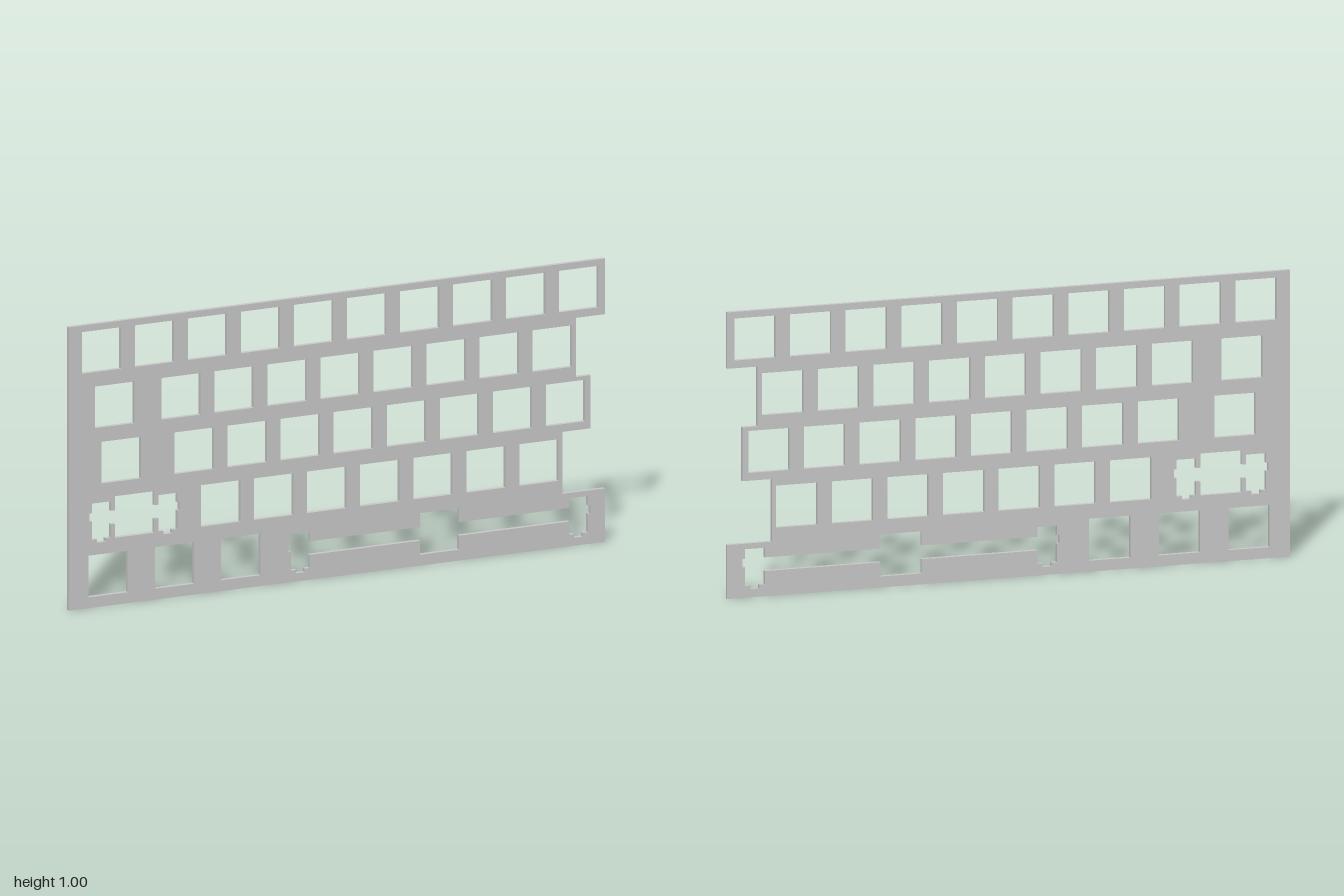
import * as THREE from 'three';

const U = 0.1977;         // key pitch
const MM = U / 19.05;     // one millimetre at this scale
const H = 7.05 * MM;      // half a switch cutout
const DEPTH = 0.0156;
const keyX = (u) => -0.878 + u * U;
const rowY = (r) => 0.901 - r * 0.1974;

const toPath = (pts) => new THREE.Path(pts.map(([x, y]) => new THREE.Vector2(x, y)));

// Square switch cutout
function switchHole(u, row) {
  const x = keyX(u), y = rowY(row);
  return toPath([[x - H, y - H], [x - H, y + H], [x + H, y + H], [x + H, y - H]]);
}

// Switch cutout joined to a stabilizer slot on each side, offset in millimetres
function stabilizedHole(u, row, offset) {
  const cx = keyX(u), cy = rowY(row), h = H / MM, w = 3.375;
  // right half, from top to bottom, in millimetres
  const half = [
    [h, h], [h, 2.3], [offset - w, 2.3], [offset - w, 5.53],
    [offset + w, 5.53], [offset + w, 2.3], [offset + 4.2, 2.3], [offset + 4.2, -0.5],
    [offset + w, -0.5], [offset + w, -6.77], [offset + 1.525, -6.77], [offset + 1.525, -7.97],
    [offset - 1.525, -7.97], [offset - 1.525, -6.77], [offset - w, -6.77],
    [offset - w, -2.3], [h, -2.3], [h, -h],
  ];
  const mirrored = half.map(([x, y]) => [-x, y]).reverse();
  return toPath([...half, ...mirrored].map(([x, y]) => [cx + x * MM, cy + y * MM]));
}

export function createModel() {
  const group = new THREE.Group();
  group.name = 'keyboardPlate';

  // Outline with the stepped right edge
  const shape = new THREE.Shape([
    [-1, 0], [1, 0], [1, 0.188], [0.841, 0.188], [0.841, 0.406], [0.946, 0.406],
    [0.946, 0.593], [0.892, 0.593], [0.892, 0.801], [1, 0.801], [1, 0.997], [-1, 0.997],
  ].map(([x, y]) => new THREE.Vector2(x, y)));

  // Each row: odd keys at the left, then a run of evenly spaced keys
  const rows = [
    { single: [], start: 0, count: 10 },
    { single: [0.25], start: 1.5, count: 8 },
    { single: [0.375], start: 1.75, count: 8 },
    { single: [], start: 2.25, count: 7 },
    { single: [0.125, 1.375, 2.625], start: 0, count: 0 },
  ];
  rows.forEach(({ single, start, count }, row) => {
    for (const u of single) shape.holes.push(switchHole(u, row));
    for (let i = 0; i < count; i++) shape.holes.push(switchHole(start + i, row));
  });

  // Wide shift key and space bar
  shape.holes.push(stabilizedHole(0.625, 3, 11.94), stabilizedHole(6.375, 4, 50));

  const geometry = new THREE.ExtrudeGeometry(shape, { depth: DEPTH, bevelEnabled: false });
  geometry.translate(0, 0, -DEPTH / 2);
  const plate = new THREE.Mesh(geometry, new THREE.MeshStandardMaterial({ color: 0xcccccc }));
  plate.name = 'switchPlate';
  group.add(plate);
  return group;
}
